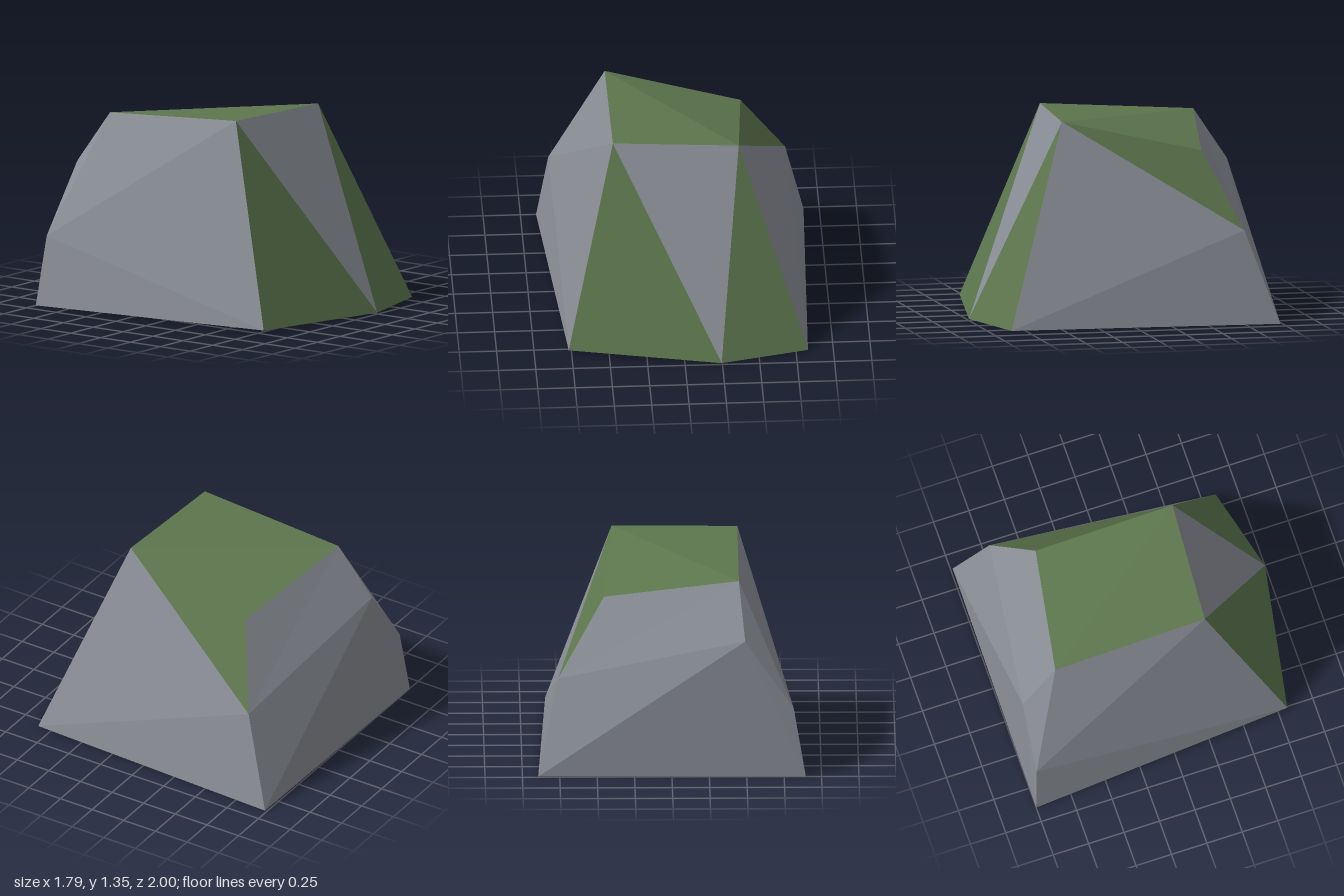
import * as THREE from 'three';

// Corners of the boulder
const P = {
  topFL: [-0.45, 1.35, 0.34], topFR: [0.39, 1.34, 0.395],
  topBR: [0.45, 1.125, -0.55], topBL: [-0.45, 1.28, -0.715],
  shoulderR: [0.76, 0.62, -0.77], shoulderL: [-0.815, 0.465, -0.97],
  ridge: [-0.49, 0.93, -0.957],
  baseFL: [-0.77, 0.03, 0.815], baseF: [0.245, 0.01, 1], baseFR: [0.83, 0.005, 0.85],
  baseBR: [0.895, 0, -0.985], baseBL: [-0.895, 0, -1],
};
const centre = new THREE.Vector3(0, 0.6, -0.2);

// Flat facets from named corner triples, each turned to face outward
function facets(name, material, triples) {
  const points = [];
  for (const triple of triples) {
    const [a, b, c] = triple.split(' ').map((key) => new THREE.Vector3(...P[key]));
    const normal = b.clone().sub(a).cross(c.clone().sub(a));
    const outward = normal.dot(a.clone().sub(centre)) > 0;
    points.push(...(outward ? [a, b, c] : [a, c, b]));
  }
  const geometry = new THREE.BufferGeometry().setFromPoints(points);
  geometry.computeVertexNormals();
  const mesh = new THREE.Mesh(geometry, material);
  mesh.name = name;
  return mesh;
}

export function createModel() {
  const stone = new THREE.MeshStandardMaterial({ color: 0x8a8e96 });
  stone.name = 'grey stone';
  const moss = new THREE.MeshStandardMaterial({ color: 0x5d764d });
  moss.name = 'green moss';

  const boulder = new THREE.Group();
  boulder.name = 'boulder';
  boulder.add(
    // Mossy facets
    facets('mossyTop', moss, [
      'topFL topFR topBL', 'topFR topBR topBL', 'topFR shoulderR topBR',
    ]),
    facets('mossyFront', moss, ['topFL baseFL baseF', 'topFR baseF baseFR']),
    // Bare stone facets
    facets('stoneFront', stone, ['topFL baseF topFR']),
    facets('stoneLeftSide', stone, ['topFR baseFR shoulderR', 'baseFR baseBR shoulderR']),
    facets('stoneRightSide', stone, [
      'topFL shoulderL baseFL', 'topFL topBL shoulderL', 'shoulderL baseBL baseFL',
    ]),
    facets('stoneBack', stone, [
      'topBL topBR shoulderR', 'topBL shoulderR ridge', 'ridge shoulderR baseBR',
      'ridge baseBR baseBL', 'ridge baseBL shoulderL', 'topBL ridge shoulderL',
    ]),
    facets('stoneUnderside', stone, [
      'baseBL baseBR baseFR', 'baseBL baseFR baseF', 'baseBL baseF baseFL',
    ]),
  );
  return boulder;
}
